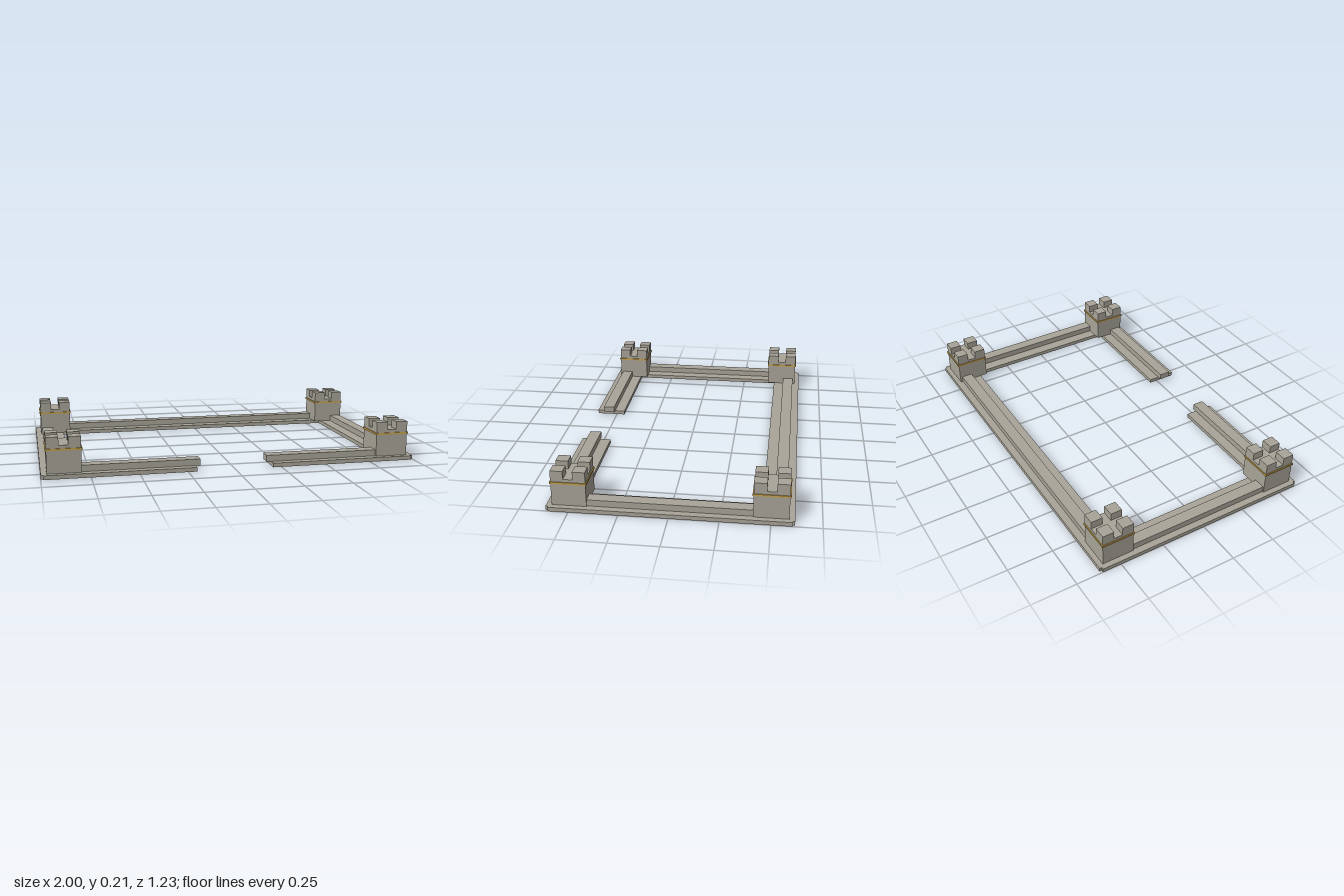
import * as THREE from 'three';

export function createModel() {
  const model = new THREE.Group();
  model.name = 'fortWall';

  const stone = new THREE.MeshStandardMaterial({ color: 0xa8a498, side: THREE.DoubleSide });
  stone.name = 'stone';
  const gold = new THREE.MeshStandardMaterial({ color: 0xc6a24c });
  gold.name = 'gold';

  // Box given by its limits; an open one has no underside
  function block(parent, name, material, [x0, x1], [y0, y1], [z0, z1], open = true) {
    const geo = new THREE.BoxGeometry(x1 - x0, y1 - y0, z1 - z0);
    if (open) {
      const index = Array.from(geo.index.array);
      index.splice(18, 6);
      geo.setIndex(index);
      geo.clearGroups();
    }
    const mesh = new THREE.Mesh(geo, material);
    mesh.name = name;
    mesh.position.set((x0 + x1) / 2, (y0 + y1) / 2, (z0 + z1) / 2);
    parent.add(mesh);
  }
  // Mirrors a range when side is -1
  const flip = (a, b, side) => (side > 0 ? [a, b] : [-b, -a]);

  const baseY = [0, 0.022];
  const wallY = [0.022, 0.056];

  // Back run
  block(model, 'backBase', stone, [-0.988, 0.988], baseY, [-0.616, -0.453]);
  block(model, 'backWall', stone, [-0.88, 0.88], wallY, [-0.575, -0.512]);

  for (const side of [-1, 1]) {
    const label = side > 0 ? 'left' : 'right';
    // Side run
    block(model, label + 'Base', stone, flip(0.836, 1, side), baseY, [-0.604, 0.604]);
    block(model, label + 'Wall', stone, flip(0.9, 0.963, side), wallY, [-0.5, 0.5]);
    // Front run, stopping at the gateway
    block(model, label + 'FrontBase', stone, flip(0.204, 0.988, side), baseY, [0.453, 0.616]);
    block(model, label + 'FrontWall', stone, flip(0.179, 0.88, side), wallY, [0.512, 0.575]);

    // Corner towers
    for (const end of [-1, 1]) {
      const tower = new THREE.Group();
      tower.name = label + (end > 0 ? 'Front' : 'Back') + 'Tower';
      tower.position.set(side * 0.882, 0, end * 0.5);
      const h = 0.088;
      block(tower, 'towerBody', stone, [-h, h], [0.022, 0.167], [-h, h]);
      block(tower, 'towerBand', gold, [-0.093, 0.093], [0.141, 0.151], [-0.093, 0.093], false);
      // One merlon on each corner
      for (const mx of [-1, 1]) {
        for (const mz of [-1, 1]) {
          block(tower, 'merlon', stone, flip(0.024, h, mx), [0.167, 0.21], flip(0.024, h, mz));
        }
      }
      model.add(tower);
    }
  }
  return model;
}
